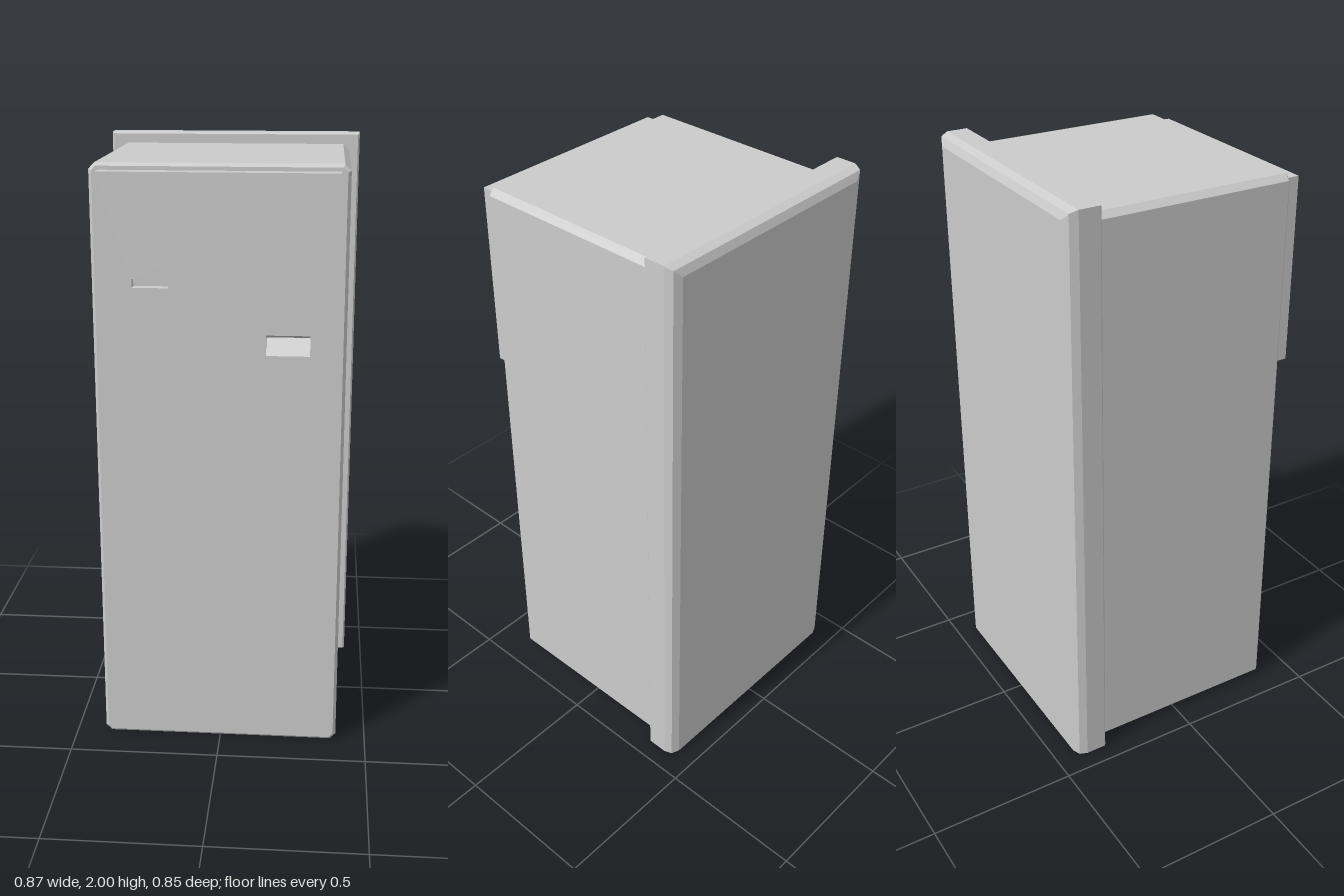
import * as THREE from 'three';

const material = new THREE.MeshStandardMaterial({ color: 0xcccccc, flatShading: true });

function polygon(points, Type = THREE.Shape) {
  return new Type(points.map(([x, y]) => new THREE.Vector2(x, y)));
}

function rectangle(x0, y0, x1, y1, Type) {
  return polygon([[x0, y0], [x1, y0], [x1, y1], [x0, y1]], Type);
}

// Extrude a profile drawn in (z, y) along x, from x0 to x1
function extrudeAlongX(points, x0, x1) {
  const shape = polygon(points.map(([z, y]) => [-z, y]));
  const geometry = new THREE.ExtrudeGeometry(shape, { depth: x1 - x0, bevelEnabled: false });
  return geometry.rotateY(Math.PI / 2).translate(x0, 0, 0);
}

// Skin rectangular sections [z, halfWidth, top], listed front to back, standing on y = 0
function loftSections(sections) {
  const rings = sections.map(([z, w, top]) => [[-w, 0, z], [w, 0, z], [w, top, z], [-w, top, z]]);
  const positions = [];
  const quad = (a, b, c, d) => positions.push(...a, ...b, ...c, ...a, ...c, ...d);
  for (let i = 0; i < rings.length - 1; i++) {
    for (let j = 0; j < 4; j++) {
      const k = (j + 1) % 4;
      quad(rings[i][j], rings[i + 1][j], rings[i + 1][k], rings[i][k]);
    }
  }
  const front = rings[0];
  const back = rings[rings.length - 1];
  quad(front[0], front[1], front[2], front[3]);
  quad(back[3], back[2], back[1], back[0]);
  const geometry = new THREE.BufferGeometry();
  geometry.setAttribute('position', new THREE.Float32BufferAttribute(positions, 3));
  geometry.computeVertexNormals();
  return geometry;
}

export function createModel() {
  const model = new THREE.Group();
  model.name = 'cabinetMachine';
  const add = (name, geometry) => {
    const mesh = new THREE.Mesh(geometry, material);
    mesh.name = name;
    model.add(mesh);
  };

  // Main body with narrow chamfers on every edge
  const c = 0.014, bevel = 0.01;
  const w = 0.4 - bevel, y0 = 0.003 + bevel, y1 = 1.962 - bevel;
  const bodyShape = polygon([
    [-w + c, y0], [w - c, y0], [w, y0 + c], [w, y1 - c],
    [w - c, y1], [-w + c, y1], [-w, y1 - c], [-w, y0 + c],
  ]);
  add('body', new THREE.ExtrudeGeometry(bodyShape, {
    depth: 0.687, bevelThickness: bevel, bevelSize: bevel, bevelSegments: 1,
  }).translate(0, 0, -0.32));

  // Wider back plate, chamfered at the sides and top but flat at the base
  add('backPlate', loftSections([
    [-0.314, 0.431, 1.994],
    [-0.32, 0.437, 2.0],
    [-0.39, 0.437, 2.0],
    [-0.416, 0.427, 1.99],
    [-0.427, 0.4, 1.965],
  ]));

  // Raised control panel with two openings
  const back = 0.375, front = 0.427;
  const panelShape = rectangle(-0.37, 1.31, 0.37, 1.94);
  panelShape.holes.push(
    rectangle(-0.265, 1.588, -0.152, 1.615, THREE.Path),
    rectangle(0.15, 1.38, 0.287, 1.445, THREE.Path),
  );
  add('controlPanel', new THREE.ExtrudeGeometry(panelShape, {
    depth: front - back, bevelEnabled: false,
  }).translate(0, 0, back));

  // Floor of the narrow slot
  add('slotBack', new THREE.BoxGeometry(0.113, 0.027, 0.02).translate(-0.2085, 1.6015, 0.385));

  // Sloping surfaces inside the tray opening
  add('trayFloor', extrudeAlongX([[front, 1.38], [0.378, 1.38], [0.378, 1.428]], 0.15, 0.287));
  add('trayCeiling', extrudeAlongX([[front, 1.445], [0.378, 1.428], [0.378, 1.445]], 0.15, 0.287));

  return model;
}
